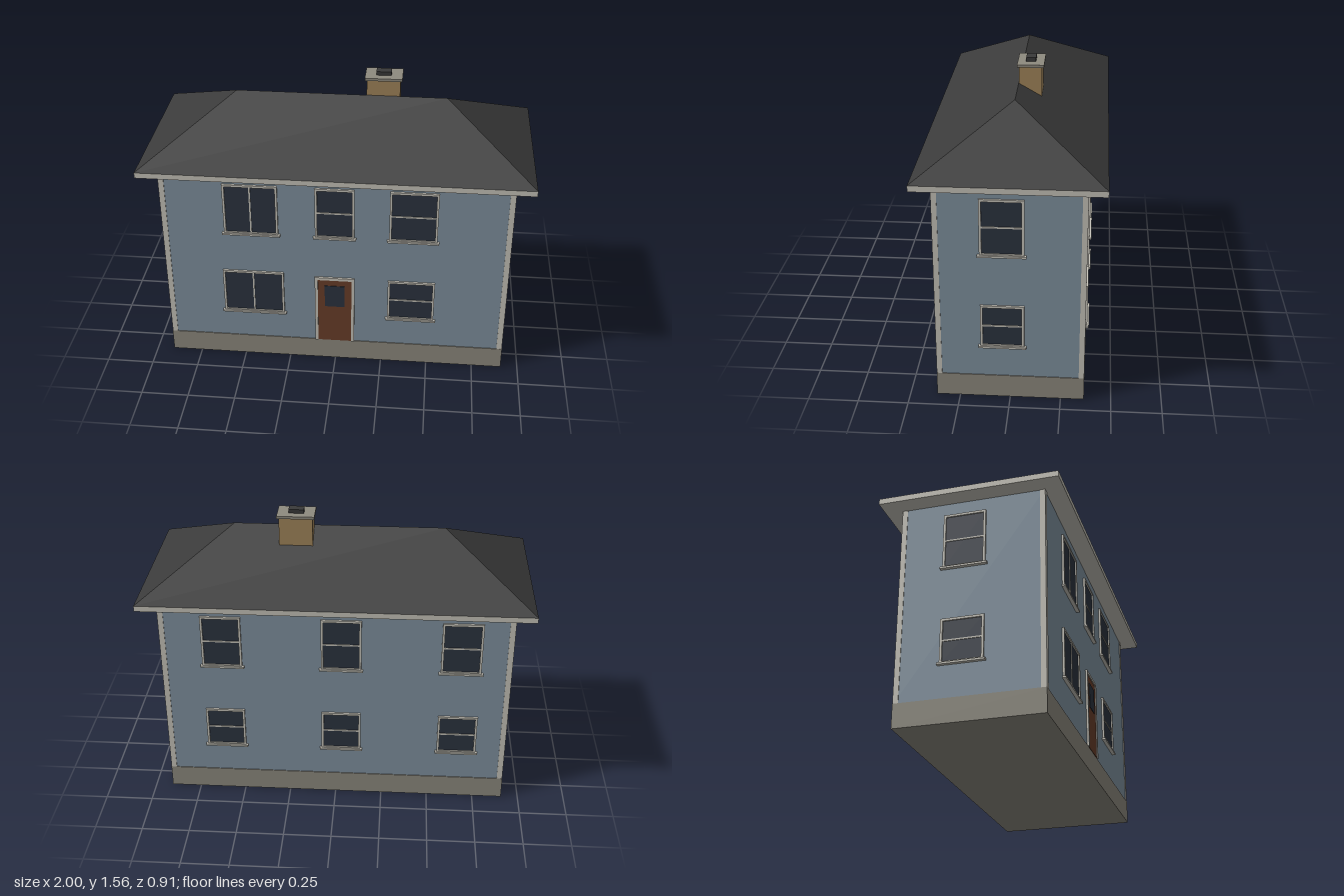
import * as THREE from 'three';

const mat = (name, color) => {
  const m = new THREE.MeshStandardMaterial({ color });
  m.name = name;
  return m;
};

export function createModel() {
  const house = new THREE.Group();
  house.name = 'house';

  const siding = mat('blue siding', 0x8193a1);
  const trim = mat('off-white trim', 0xc9c6bc);
  const stone = mat('grey stone', 0x8f8b80);
  const slate = mat('dark slate', 0x3a3a3a);
  const glass = mat('dark glass', 0x2c3440);
  const doorPaint = mat('brown door', 0x6b3f2a);
  const brick = mat('tan brick', 0xa3875c);

  // Box given by its minimum and maximum corners
  const box = (name, material, [x0, y0, z0], [x1, y1, z1], parent = house) => {
    const mesh = new THREE.Mesh(new THREE.BoxGeometry(x1 - x0, y1 - y0, z1 - z0), material);
    mesh.position.set((x0 + x1) / 2, (y0 + y1) / 2, (z0 + z1) / 2);
    mesh.name = name;
    parent.add(mesh);
    return mesh;
  };

  // Base and walls
  const W = 0.905, D = 0.362, baseTop = 0.122, eave = 1.15, fasciaTop = 1.18;
  box('foundation', stone, [-0.909, 0, -0.366], [0.909, baseTop, 0.366]);
  box('walls', siding, [-W, baseTop, -D], [W, eave, D]);

  // Corner boards wrap each corner
  for (const sx of [-1, 1]) for (const sz of [-1, 1]) {
    const board = box('cornerBoard', trim, [-0.0145, baseTop, -0.0135], [0.0145, eave, 0.0135]);
    board.position.x = sx * (0.908 - 0.0145);
    board.position.z = sz * (0.3655 - 0.0135);
  }

  // Eaves and hipped roof
  const ridgeY = 1.44, ridgeX = 0.545, eaveZ = 0.455;
  box('fascia', trim, [-1, eave, -eaveZ], [1, fasciaTop, eaveZ]);
  const hip = new THREE.BoxGeometry(2, ridgeY - fasciaTop, eaveZ * 2);
  const p = hip.attributes.position;
  for (let i = 0; i < p.count; i++) {
    if (p.getY(i) > 0) {
      p.setX(i, Math.sign(p.getX(i)) * ridgeX);
      p.setZ(i, 0);
    }
  }
  const roofGeometry = hip.toNonIndexed();
  roofGeometry.computeVertexNormals();
  const roof = new THREE.Mesh(roofGeometry, slate);
  roof.name = 'hipRoof';
  roof.position.y = (ridgeY + fasciaTop) / 2;
  house.add(roof);

  // Chimney
  const chimney = new THREE.Group();
  chimney.name = 'chimney';
  house.add(chimney);
  box('chimneyStack', brick, [0.13, 1.3, -0.115], [0.302, 1.524, -0.002], chimney);
  box('chimneyCap', stone, [0.12, 1.524, -0.126], [0.312, 1.538, 0.008], chimney);
  box('chimneyFlue', slate, [0.176, 1.538, -0.083], [0.254, 1.558, -0.034], chimney);

  // Each wall is a group whose local z = 0 is the wall surface, facing out
  const wall = (name, x, z, turn) => {
    const g = new THREE.Group();
    g.name = name;
    g.position.set(x, 0, z);
    g.rotation.y = turn;
    house.add(g);
    return g;
  };
  const front = wall('frontOpenings', 0, D, 0);
  const back = wall('backOpenings', 0, -D, Math.PI);
  const leftSide = wall('leftOpenings', W, 0, Math.PI / 2);
  const rightSide = wall('rightOpenings', -W, 0, -Math.PI / 2);

  // Side and head casings around an opening
  const casing = (g, x0, x1, y0, y1, t) => {
    box('leftCasing', trim, [x0, y0, 0], [x0 + t, y1, 0.011], g);
    box('rightCasing', trim, [x1 - t, y0, 0], [x1, y1, 0.011], g);
    box('headCasing', trim, [x0 + t, y1 - t, 0], [x1 - t, y1, 0.011], g);
  };

  const addWindow = (parent, x, width, y0, y1, slider = false) => {
    const g = new THREE.Group();
    g.name = 'window';
    g.position.x = x;
    parent.add(g);
    const h = width / 2, t = 0.012, mid = (y0 + y1) / 2, r = 0.004;
    casing(g, -h, h, y0, y1, t);
    box('bottomCasing', trim, [-h + t, y0, 0], [h - t, y0 + t * 0.6, 0.011], g);
    box('sill', trim, [-h - 0.01, y0 - 0.01, 0], [h + 0.01, y0, 0.019], g);
    box('pane', glass, [-h + t, y0 + t * 0.6, 0], [h - t, y1 - t, 0.004], g);
    if (slider) box('mullion', trim, [-r, y0 + t * 0.6, 0], [r, y1 - t, 0.008], g);
    else box('meetingRail', trim, [-h + t, mid - r, 0], [h - t, mid + r, 0.008], g);
  };

  // Front windows
  addWindow(front, -0.438, 0.284, 0.797, 1.086, true);
  addWindow(front, -0.002, 0.204, 0.797, 1.086);
  addWindow(front, 0.404, 0.248, 0.797, 1.086);
  addWindow(front, -0.438, 0.326, 0.298, 0.556, true);
  addWindow(front, 0.404, 0.248, 0.298, 0.537);

  // Back and side windows, two storeys each
  for (const [y0, y1] of [[0.795, 1.083], [0.296, 0.52]]) {
    for (const x of [-0.588, 0.03, 0.647]) addWindow(back, x, 0.208, y0, y1);
    addWindow(leftSide, -0.037, 0.214, y0, y1);
    addWindow(rightSide, -0.037, 0.214, y0, y1);
  }

  // Front door
  const door = new THREE.Group();
  door.name = 'frontDoor';
  door.position.x = -0.003;
  front.add(door);
  casing(door, -0.106, 0.106, baseTop, 0.54, 0.016);
  box('doorLeaf', doorPaint, [-0.09, baseTop, 0], [0.09, 0.524, 0.006], door);
  box('doorPane', glass, [-0.053, 0.353, 0.006], [0.053, 0.487, 0.009], door);

  return house;
}
